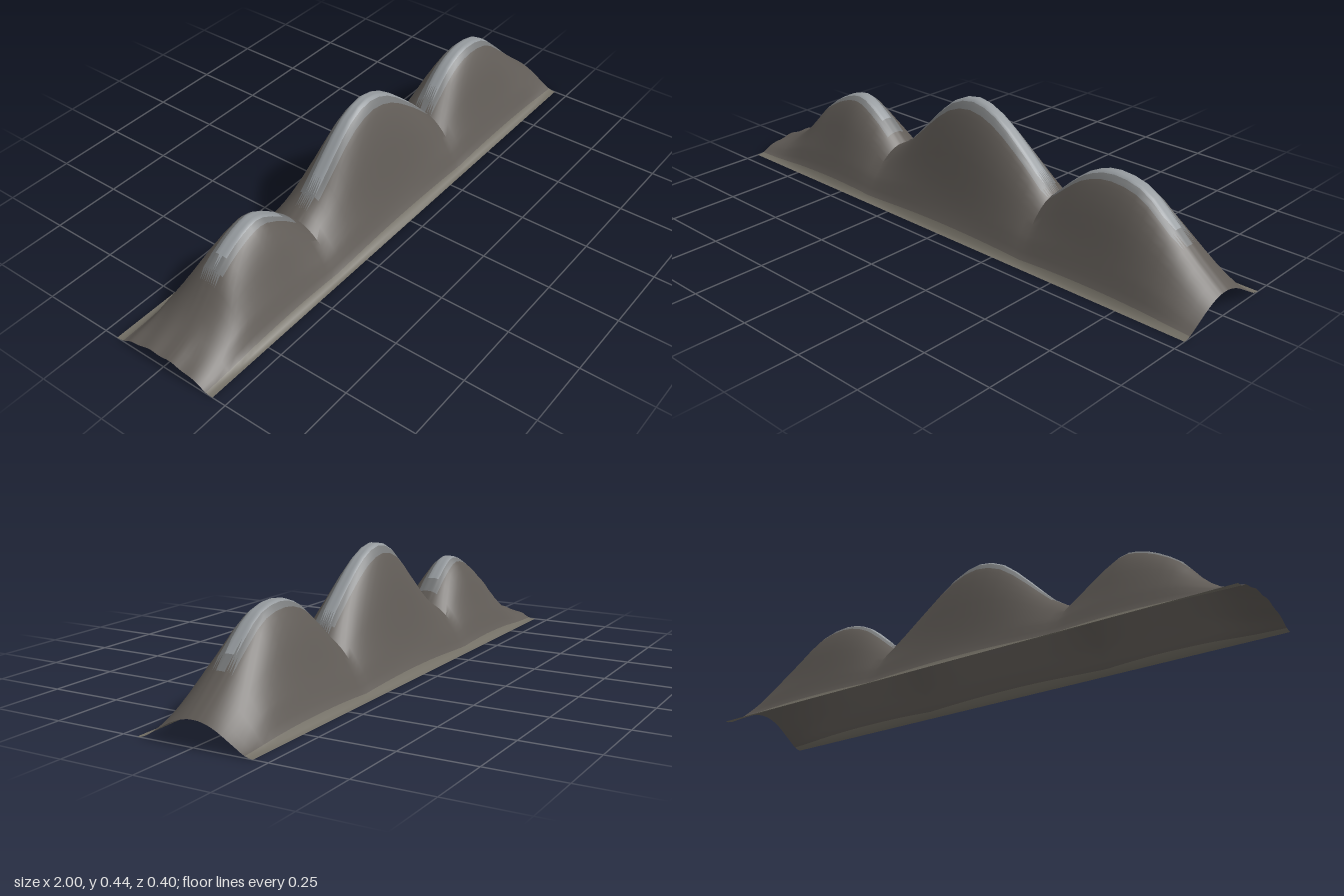
import * as THREE from 'three';
import { toCreasedNormals } from 'three/addons/utils/BufferGeometryUtils.js';

const { lerp, smoothstep, clamp } = THREE.MathUtils;
const spline = (pts) => new THREE.SplineCurve(pts.map(([x, y]) => new THREE.Vector2(x, y)));

// Crest line of each hill (x, height); neighbours meet in a sharp valley
const crests = [
  [[-1, 0.042], [-0.9, 0.08], [-0.82, 0.148], [-0.76, 0.22], [-0.68, 0.275], [-0.61, 0.303], [-0.55, 0.3], [-0.46, 0.24], [-0.38, 0.165]],
  [[-0.38, 0.165], [-0.3, 0.215], [-0.2, 0.315], [-0.1, 0.405], [0, 0.437], [0.1, 0.405], [0.2, 0.328], [0.28, 0.255], [0.345, 0.19]],
  [[0.345, 0.19], [0.43, 0.27], [0.5, 0.322], [0.59, 0.348], [0.7, 0.328], [0.8, 0.25], [0.9, 0.16], [1, 0.08]],
];

// Half cross-section (z, share of the crest height)
const flank = spline([[0, 1], [0.015, 0.995], [0.03, 0.955], [0.05, 0.875], [0.08, 0.69],
  [0.11, 0.45], [0.135, 0.26], [0.16, 0.115], [0.185, 0.02], [0.2, 0]]);

// Bands of the ground cover; the first whose rule fits takes the face
const bands = [
  { name: 'summits', color: 0x94999d, fits: (y, z) => z < 0.023 && y > 0.24 },
  { name: 'upperSlopes', color: 0x757778, fits: (y, z) => z < 0.038 && y > 0.2 },
  { name: 'footOfSlopes', color: 0x726e64, fits: (y, z) => z > 0.172 },
  { name: 'slopes', color: 0x605b56, fits: () => true },
];

// Low parts of the crest have a fuller cross-section than the summits; the foot flares out everywhere
function fullness(x, crest, z) {
  const base = clamp(0.6 + (crest - 0.19) * 1.62, 0.5, 1);
  const power = lerp(base, 0.8, smoothstep(x, 0.8, 1));
  return lerp(power, 1, smoothstep(Math.abs(z), 0.14, 0.19));
}

function createRidgeGeometry() {
  const ridge = crests.flatMap((c, i) => spline(c).getPoints(16).slice(i ? 1 : 0));
  const half = flank.getPoints(18);
  const section = [...half.slice(1).reverse().map((p) => new THREE.Vector2(-p.x, p.y)), ...half];
  const n = section.length;
  const positions = [];
  const index = [];
  ridge.forEach((r, i) => {
    // Slight ripples on the low left end
    const ripple = 0.003 * (1 - smoothstep(r.x, -1, -0.82));
    section.forEach((s, j) => {
      const share = Math.max(s.y, 0) ** fullness(r.x, r.y, s.x);
      const wave = -ripple * Math.cos(s.x * 70 + 0.8) * share;
      positions.push(r.x, r.y * share + wave, s.x);
      if (i < ridge.length - 1 && j < n - 1) {
        const a = i * n + j;
        const b = a + n;
        index.push(a, a + 1, b, b, a + 1, b + 1);
      }
    });
  });
  const geometry = new THREE.BufferGeometry();
  geometry.setAttribute('position', new THREE.Float32BufferAttribute(positions, 3));
  geometry.setIndex(index);
  return toCreasedNormals(geometry, 0.6);
}

export function createModel() {
  const group = new THREE.Group();
  group.name = 'hillRidge';
  const { position, normal } = createRidgeGeometry().attributes;
  const parts = bands.map(() => ({ position: [], normal: [] }));

  // Sort the faces into bands by height and distance from the crest line
  for (let i = 0; i < position.count; i += 3) {
    const corners = [i, i + 1, i + 2];
    const y = corners.reduce((sum, k) => sum + position.getY(k), 0) / 3;
    const z = Math.abs(corners.reduce((sum, k) => sum + position.getZ(k), 0) / 3);
    const part = parts[bands.findIndex((band) => band.fits(y, z))];
    part.position.push(...position.array.slice(i * 3, i * 3 + 9));
    part.normal.push(...normal.array.slice(i * 3, i * 3 + 9));
  }

  // Thin shell, open underneath and at both ends
  bands.forEach(({ name, color }, i) => {
    const geometry = new THREE.BufferGeometry();
    geometry.setAttribute('position', new THREE.Float32BufferAttribute(parts[i].position, 3));
    geometry.setAttribute('normal', new THREE.Float32BufferAttribute(parts[i].normal, 3));
    const mesh = new THREE.Mesh(geometry, new THREE.MeshStandardMaterial({ color, side: THREE.DoubleSide }));
    mesh.name = name;
    group.add(mesh);
  });
  return group;
}
